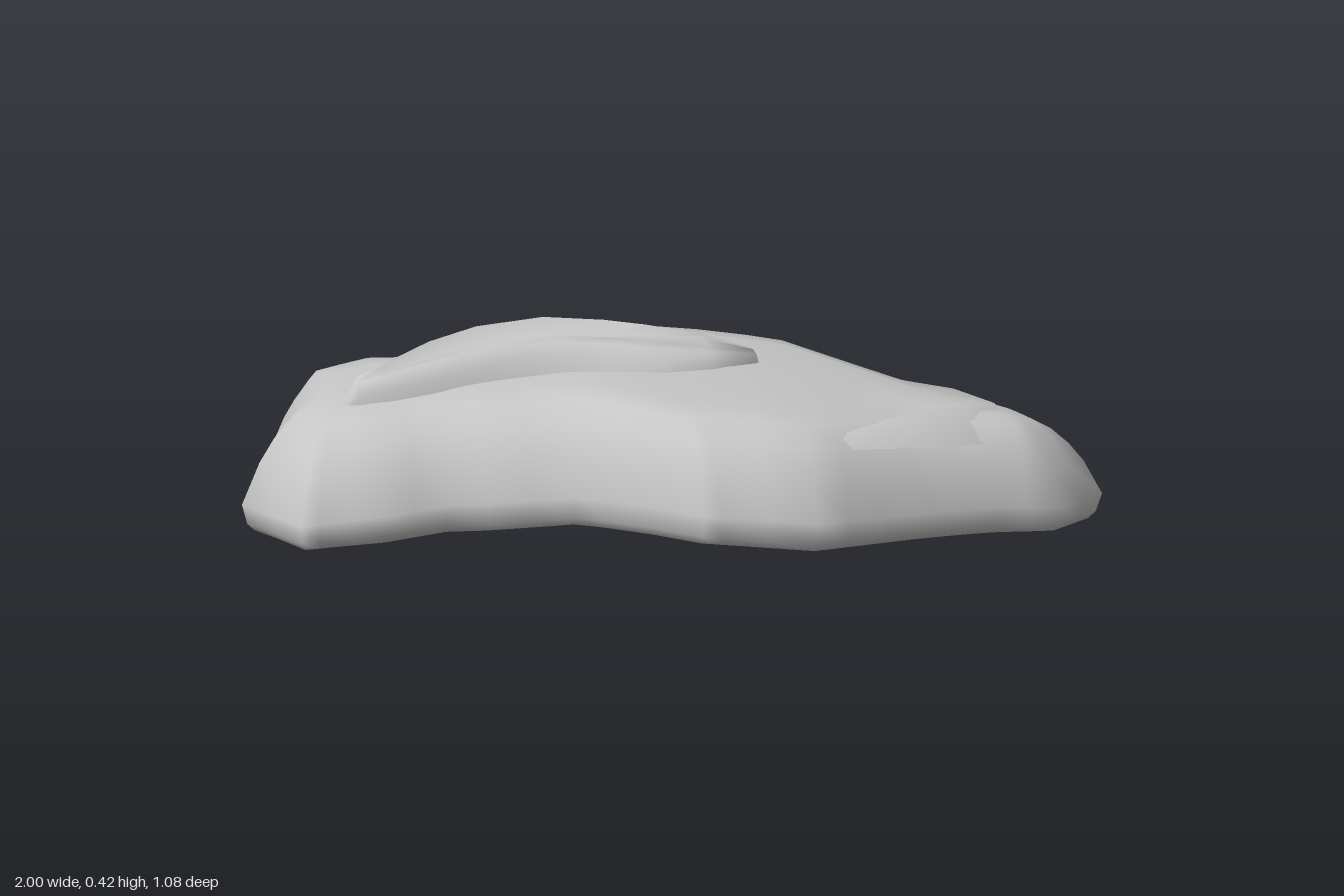
import * as THREE from 'three';
import { mergeVertices, toCreasedNormals } from 'three/addons/utils/BufferGeometryUtils.js';

// Piecewise-linear lookup through [x, value] pairs
function lookup(points, x) {
  if (x <= points[0][0]) return points[0][1];
  for (let i = 1; i < points.length; i++) {
    const [x0, v0] = points[i - 1], [x1, v1] = points[i];
    if (x <= x1) return v0 + (v1 - v0) * (x - x0) / (x1 - x0);
  }
  return points[points.length - 1][1];
}

// Smooth surface through rows of [x, y, z] points
function skin(rows, closed) {
  const n = rows[0].length, index = [];
  for (let r = 0; r < rows.length - 1; r++) {
    for (let i = 0; i < (closed ? n : n - 1); i++) {
      const j = (i + 1) % n;
      const a = r * n + i, b = r * n + j, c = b + n, d = a + n;
      index.push(a, d, c, a, c, b);
    }
  }
  let geometry = new THREE.BufferGeometry();
  geometry.setAttribute('position', new THREE.Float32BufferAttribute(rows.flat(2), 3));
  geometry.setIndex(index);
  geometry = mergeVertices(geometry, 1e-4);
  geometry.computeVertexNormals();
  return geometry;
}

// Plan outline of the slab, back and front edges
const backEdge = [[-1, -0.04], [-0.86, -0.39], [-0.77, -0.51], [-0.63, -0.535], [-0.46, -0.45], [-0.36, -0.44],
  [-0.2, -0.5], [0.04, -0.54], [0.34, -0.44], [0.57, -0.18], [0.66, -0.05], [0.88, 0.1], [1, 0.235]];
const frontEdge = [[-1, -0.04], [-0.9, 0.17], [-0.7, 0.2], [-0.55, 0.185], [-0.45, 0.22], [-0.26, 0.26],
  [0, 0.48], [0.26, 0.535], [0.5, 0.445], [0.73, 0.37], [0.88, 0.35], [1, 0.235]];
const stations = [-1, -0.95, -0.9, -0.86, -0.77, -0.7, -0.63, -0.55, -0.46, -0.36, -0.26, -0.2, -0.1,
  0, 0.04, 0.15, 0.26, 0.34, 0.42, 0.5, 0.57, 0.66, 0.73, 0.8, 0.88, 0.95, 1];

// Heights along the slab and the line its surfaces close on
const top = x => lookup([[-0.9, 0.268], [-0.75, 0.3], [-0.5, 0.33], [-0.15, 0.355], [0.2, 0.343],
  [0.5, 0.305], [0.75, 0.275], [0.9, 0.23]], x);
const bottom = x => lookup([[-1, 0], [-0.15, 0.068], [0, 0.066], [1, -0.004]], x);
const spine = x => {
  const sx = THREE.MathUtils.clamp(x, -0.74, 0.78);
  return [sx, lookup([[-0.75, -0.15], [-0.3, -0.1], [0, 0], [0.3, 0.06], [0.78, 0.22]], sx)];
};

function slabGeometry() {
  const outline = [
    ...stations.map(x => [x, lookup(backEdge, x)]),
    ...stations.slice(1, -1).reverse().map(x => [x, lookup(frontEdge, x)]),
  ];
  // Ring = [inset distance, largest share of the way to the spine, height share]
  const rings = [[9, 1, 0], [0.14, 0.5, 0], [0.035, 0.15, 0.005], [0.015, 0.08, 0.08], [0, 0, 0.27],
    [0.05, 0.2, 0.62], [0.09, 0.36, 0.81], [0.15, 0.55, 0.95], [0.24, 0.75, 1], [9, 1, 1]];
  return skin(rings.map(([inset, share, h]) => outline.map(([x, z]) => {
    const [sx, sz] = spine(x);
    const t = Math.min(inset / Math.hypot(sx - x, sz - z), share);
    const px = x + (sx - x) * t, pz = z + (sz - z) * t;
    return [px, bottom(px) + (top(px) - bottom(px)) * h, pz];
  })), true);
}

// Twin ridge with a groove: [x, back z, groove back z, groove front z, front z, crest y, groove y]
function ridgeGeometry() {
  const sections = [
    [-0.755, -0.07, -0.06, -0.055, -0.045, 0.3, 0.3],
    [-0.72, -0.105, -0.075, -0.065, -0.03, 0.352, 0.345],
    [-0.64, -0.165, -0.11, -0.068, -0.022, 0.37, 0.352],
    [-0.52, -0.26, -0.17, -0.088, -0.025, 0.392, 0.364],
    [-0.4, -0.293, -0.208, -0.12, -0.04, 0.41, 0.376],
    [-0.24, -0.3, -0.208, -0.125, -0.035, 0.422, 0.384],
    [-0.1, -0.27, -0.185, -0.105, 0, 0.414, 0.386],
    [0, -0.24, -0.168, -0.075, 0.02, 0.402, 0.386],
    [0.12, -0.2, -0.145, -0.06, 0.002, 0.382, 0.378],
    [0.235, -0.115, -0.1, -0.07, -0.05, 0.355, 0.355],
    [0.245, -0.112, -0.1, -0.07, -0.052, 0.31, 0.31],
  ];
  const mix = THREE.MathUtils.lerp;
  return skin(sections.map(([x, b, gb, gf, f, crest, groove]) => {
    const base = Math.min(top(x) - 0.015, crest);
    return [
      [x, base, f], [x, mix(base, crest, 0.55), mix(f, gf, 0.15)], [x, mix(base, crest, 0.9), mix(f, gf, 0.45)],
      [x, crest, mix(f, gf, 0.72)], [x, groove, gf], [x, groove, gb],
      [x, crest, mix(b, gb, 0.65)], [x, mix(base, crest, 0.85), mix(b, gb, 0.38)], [x, base, b],
    ];
  }), false);
}

// Low V-shaped lip at the tapered end: [outer x, z], [crest x, z], [inner x, z], crest rise
function lipGeometry() {
  const sections = [
    [[0.37, 0.42], [0.34, 0.38], [0.32, 0.36], -0.035],
    [[0.55, 0.375], [0.5, 0.315], [0.47, 0.28], 0.003],
    [[0.74, 0.3], [0.66, 0.245], [0.61, 0.205], 0.018],
    [[0.84, 0.21], [0.75, 0.195], [0.65, 0.175], 0.01],
    [[0.75, 0.08], [0.67, 0.11], [0.62, 0.13], 0.014],
    [[0.65, 0], [0.59, 0.04], [0.54, 0.06], 0.003],
    [[0.53, -0.11], [0.5, -0.1], [0.48, -0.09], -0.03],
  ];
  return skin(sections.map(([o, c, i, rise]) => [
    [o[0], top(o[0]) - 0.055, o[1]], [c[0], top(c[0]) + rise, c[1]], [i[0], top(i[0]) - 0.02, i[1]],
  ]), false);
}

export function createModel() {
  const model = new THREE.Group();
  const stone = new THREE.MeshStandardMaterial({ color: 0xc6c6c6 });
  stone.name = 'light stone grey';
  const add = (name, geometry) => {
    const mesh = new THREE.Mesh(geometry, stone);
    mesh.name = name;
    model.add(mesh);
  };
  add('slab', slabGeometry());
  add('twinRidge', toCreasedNormals(ridgeGeometry(), 1.2));
  add('tailLip', lipGeometry());
  return model;
}
